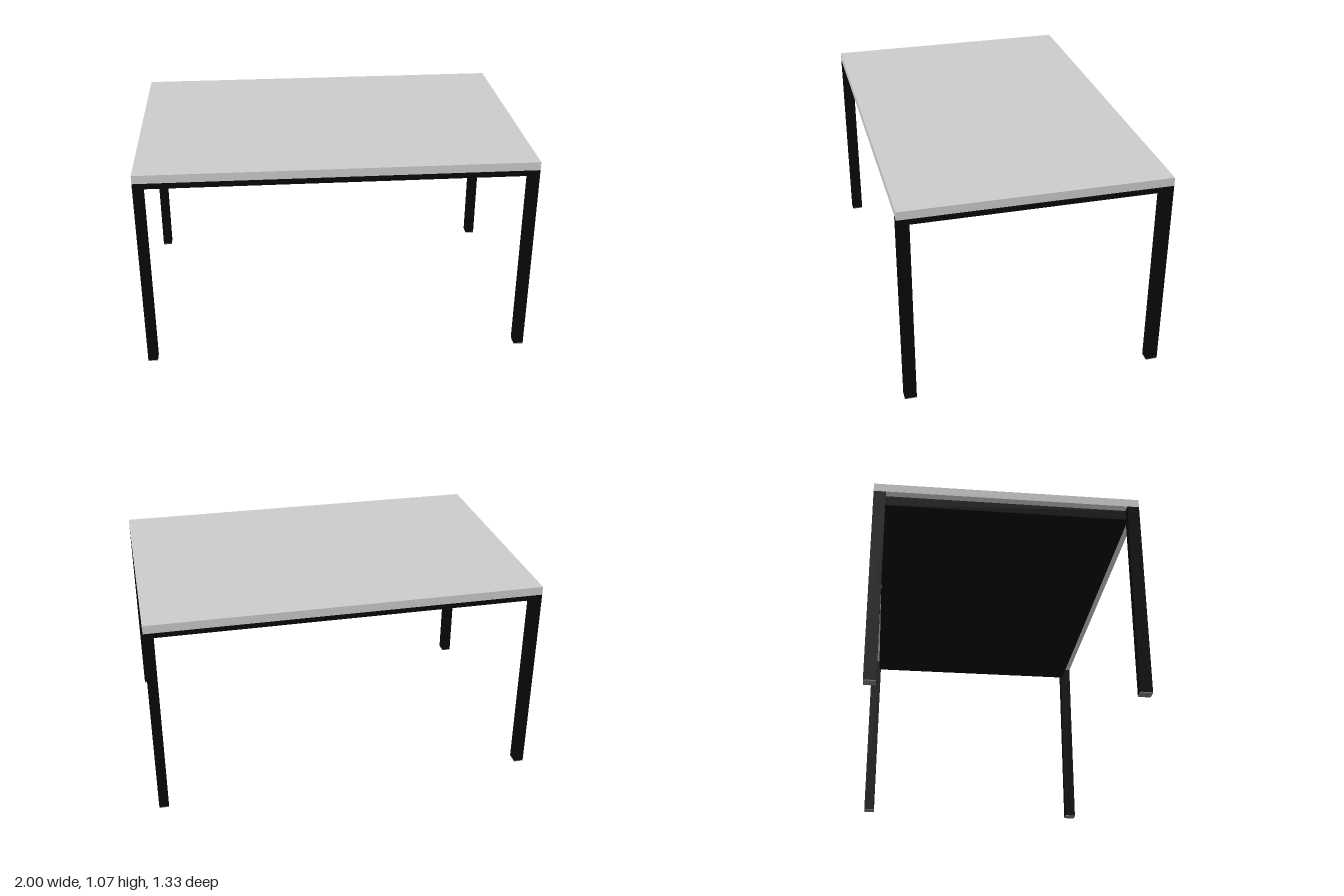
import * as THREE from 'three';

const grey = new THREE.MeshStandardMaterial({ color: 0xcccccc });
const black = new THREE.MeshStandardMaterial({ color: 0x080808 });
const footGrey = new THREE.MeshStandardMaterial({ color: 0x777777 });

const W = 2, D = 1.334, H = 1.07;   // overall size
const TOP = 0.043;                  // tabletop thickness
const LEG_X = 0.05, LEG_Z = 0.06;   // leg section
const FOOT = 0.005;                 // glide height
const APRON = 0.053;                // depth of the frame under the top

// Box placed by its bottom face
function box(name, material, w, h, d, x, y, z) {
  const mesh = new THREE.Mesh(new THREE.BoxGeometry(w, h, d), material);
  mesh.name = name;
  mesh.position.set(x, y + h / 2, z);
  return mesh;
}

export function createModel() {
  const table = new THREE.Group();
  table.name = 'table';
  const under = H - TOP;

  table.add(box('tabletop', grey, W, TOP, D, 0, under, 0));

  // Black under-frame, set in behind the outer faces of the legs
  table.add(box('underFrame', black, W - 0.08, APRON, D - 0.1, 0, under - APRON, 0));

  // Corner legs, flush with the tabletop edges, each on a thin glide
  for (const sx of [-1, 1]) {
    for (const sz of [-1, 1]) {
      const leg = new THREE.Group();
      leg.name = `${sz > 0 ? 'front' : 'back'}${sx > 0 ? 'Left' : 'Right'}Leg`;
      leg.position.set(sx * (W - LEG_X) / 2, 0, sz * (D - LEG_Z) / 2);
      leg.add(box('post', black, LEG_X, under - FOOT, LEG_Z, 0, FOOT, 0));
      leg.add(box('foot', footGrey, LEG_X, FOOT, LEG_Z, 0, 0, 0));
      table.add(leg);
    }
  }
  return table;
}
